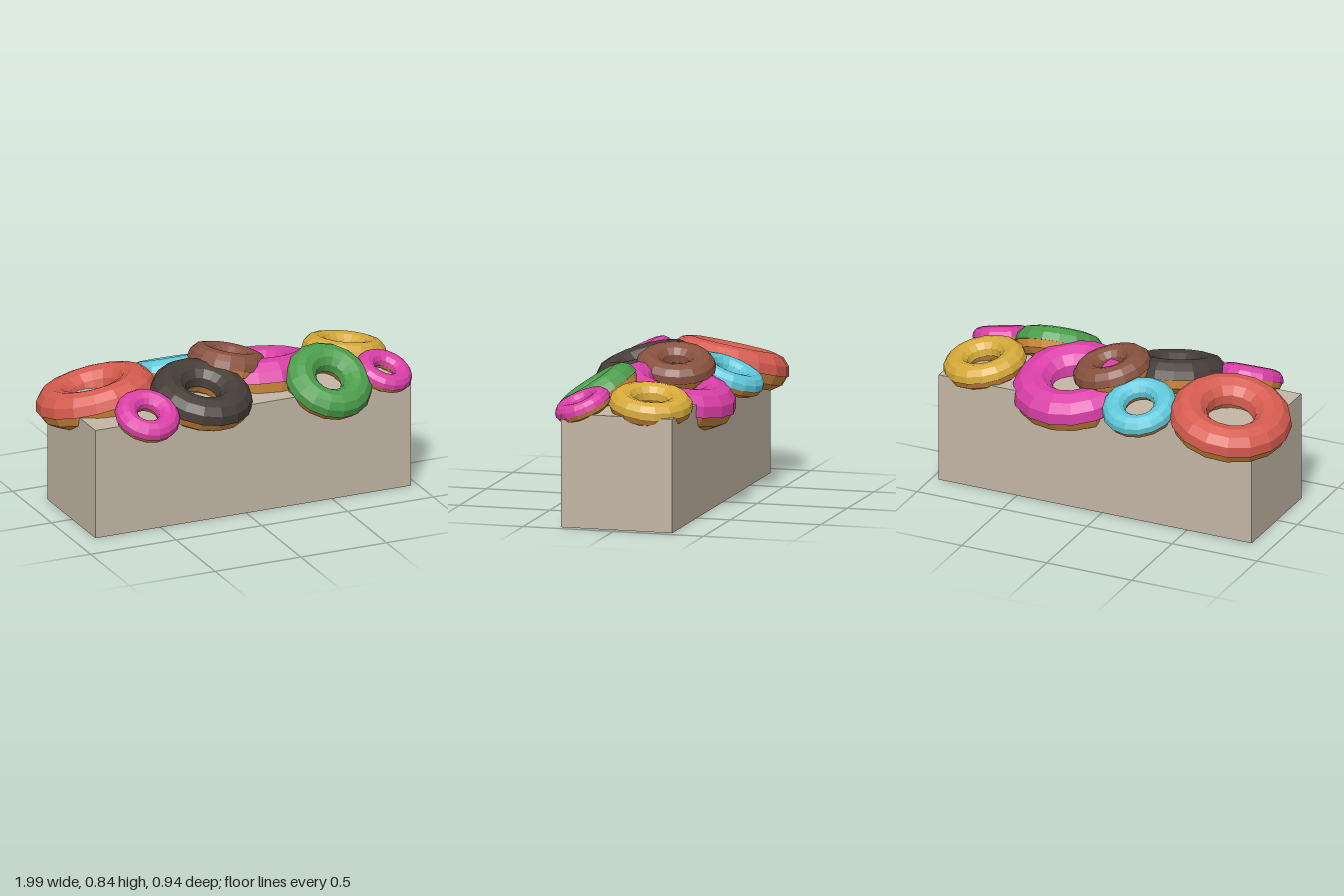
import * as THREE from 'three';

const mat = (name, color) => {
  const m = new THREE.MeshStandardMaterial({ color });
  m.name = name;
  return m;
};

// Spins a profile around y and gives it faceted normals
function facetedLathe(points, sides) {
  const g = new THREE.LatheGeometry(points, sides).toNonIndexed();
  g.computeVertexNormals();
  return g;
}

// Points along a circular tube section, angles in degrees from the outer edge
function arc(ring, radius, from, to, steps) {
  const pts = [];
  for (let i = 0; i <= steps; i++) {
    const a = THREE.MathUtils.degToRad(from + (to - from) * i / steps);
    pts.push(new THREE.Vector2(ring + radius * Math.cos(a), radius * Math.sin(a)));
  }
  return pts;
}

export function createModel() {
  const model = new THREE.Group();
  model.name = 'donutDisplay';

  const stone = mat('stand beige', 0xc3b6a5);
  const dough = mat('dough', 0xd18b3c);
  const red = mat('strawberry red', 0xd65c50);
  const pink = mat('pink', 0xd93fa6);
  const blue = mat('sky blue', 0x5fc6d8);
  const dark = mat('dark chocolate', 0x463d38);
  const brown = mat('milk chocolate', 0x87513f);
  const green = mat('green', 0x4b9d4b);
  const yellow = mat('yellow', 0xd5a93a);

  // Plain block below the pile
  const stand = new THREE.Mesh(new THREE.BoxGeometry(1.84, 0.615, 0.615), stone);
  stand.name = 'stand';
  stand.position.set(0.04, 0.3075, -0.0075);
  model.add(stand);

  // name, icing, centre, ring radius, tube radius, lean towards x and z
  const donuts = [
    ['redDonut', red, [-0.675, 0.62, -0.145], 0.225, 0.098, -0.19, -0.17],
    ['blueDonut', blue, [-0.205, 0.645, -0.278], 0.14, 0.06, 0, -0.4],
    ['largePinkDonut', pink, [0.255, 0.605, -0.118], 0.222, 0.108, 0.03, -0.23],
    ['yellowDonut', yellow, [0.77, 0.65, -0.14], 0.155, 0.068, 0.16, -0.12],
    ['brownDonut', brown, [0.055, 0.725, -0.065], 0.14, 0.073, 0.25, -0.1],
    ['darkDonut', dark, [-0.205, 0.66, 0.175], 0.182, 0.09, 0.1, 0.28],
    ['greenDonut', green, [0.51, 0.642, 0.23], 0.157, 0.08, 0.1, 0.65],
    ['leftPinkDonut', pink, [0.84, 0.642, 0.215], 0.105, 0.05, 0.22, 0.38],
    ['rightPinkDonut', pink, [-0.58, 0.65, 0.305], 0.116, 0.058, 0.02, 0.5],
  ];

  const up = new THREE.Vector3(0, 1, 0);
  for (const [name, icing, centre, ring, tube, leanX, leanZ] of donuts) {
    const donut = new THREE.Group();
    donut.name = name;

    // Baked ring
    const base = new THREE.Mesh(facetedLathe(arc(ring, tube, 0, 360, 10), 16), dough);
    base.name = 'dough';

    // Icing shell over the upper half, with a lip tucked into the dough
    const lip = tube * 0.9;
    const profile = [
      ...arc(ring, lip, -3, -3, 1).slice(1),
      ...arc(ring, tube * 1.06, -3, 183, 6),
      ...arc(ring, lip, 183, 183, 1).slice(1),
    ];
    const top = new THREE.Mesh(facetedLathe(profile, 16), icing);
    top.name = 'icing';

    donut.add(base, top);
    donut.position.set(...centre);
    donut.quaternion.setFromUnitVectors(up, new THREE.Vector3(leanX, 1, leanZ).normalize());
    model.add(donut);
  }
  return model;
}
